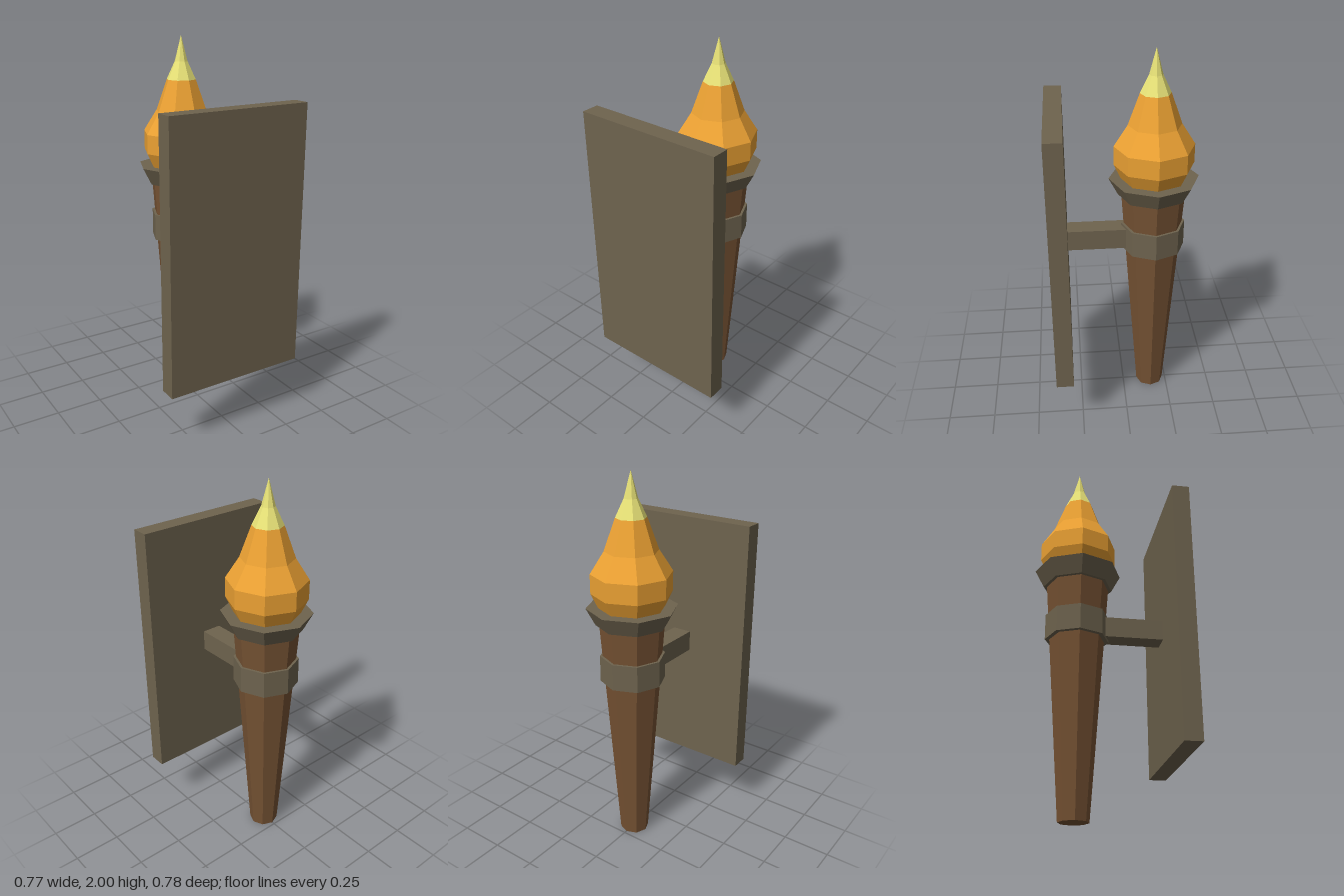
import * as THREE from 'three';

const SIDES = 8;
const AXIS_Z = -0.157; // torch axis

function material(color) {
  return new THREE.MeshStandardMaterial({ color, flatShading: true });
}

export function createModel() {
  const group = new THREE.Group();
  const iron = material(0x6e634e);
  const wood = material(0x755233);
  const orange = material(0xeba133);
  const yellow = material(0xe8e277);

  function add(name, geometry, mat, x, y, z) {
    const mesh = new THREE.Mesh(geometry, mat);
    mesh.name = name;
    mesh.position.set(x, y, z);
    group.add(mesh);
  }

  // Eight-sided tapered piece standing on the torch axis
  function taper(name, mat, y0, y1, r0, r1) {
    const geometry = new THREE.CylinderGeometry(r1, r0, y1 - y0, SIDES);
    add(name, geometry, mat, 0, (y0 + y1) / 2, AXIS_Z);
  }

  // Eight-sided turned piece from [radius, height] pairs, bottom to top
  function turned(name, mat, profile) {
    const points = profile.map(([r, y]) => new THREE.Vector2(r, y));
    add(name, new THREE.LatheGeometry(points, SIDES), mat, 0, 0, AXIS_Z);
  }

  // Wall plate and bracket arm
  add('wallPlate', new THREE.BoxGeometry(0.774, 1.394, 0.092), iron, 0, 1.003, 0.341);
  add('bracketArm', new THREE.BoxGeometry(0.106, 0.11, 0.335), iron, 0, 1.005, 0.1275);

  // Handle with its holding ring and flared collar
  taper('handle', wood, 0, 1.26, 0.077, 0.168);
  taper('holdingRing', iron, 0.935, 1.075, 0.168, 0.168);
  taper('collar', iron, 1.245, 1.335, 0.185, 0.232);

  // Flame body and bright tip
  turned('flame', orange, [
    [0, 1.325], [0.165, 1.325], [0.205, 1.41], [0.205, 1.51], [0.135, 1.62], [0.077, 1.78],
  ]);
  turned('flameTip', yellow, [[0.077, 1.78], [0.034, 1.87], [0, 2]]);

  return group;
}
